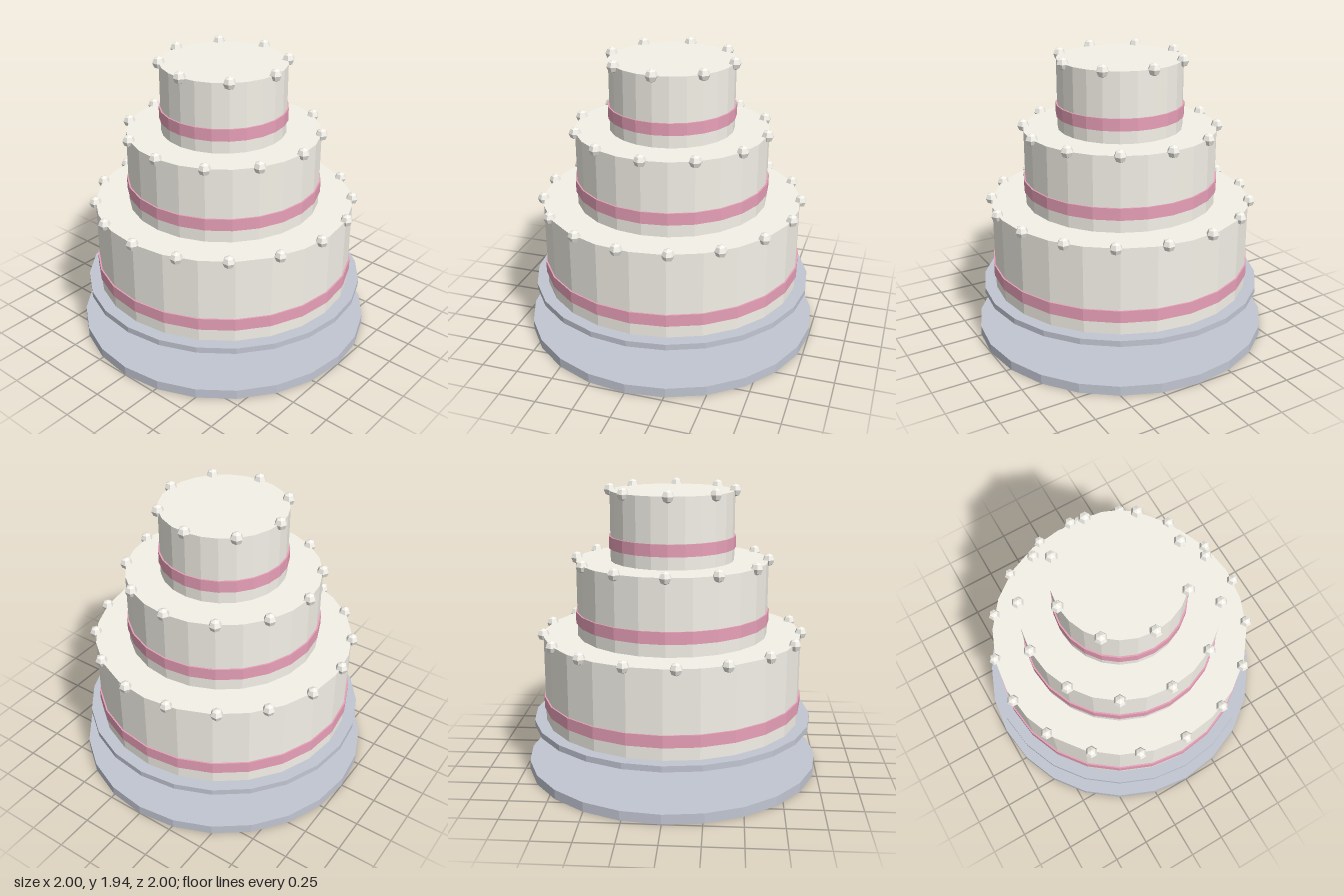
import * as THREE from 'three';

const material = (color) => new THREE.MeshStandardMaterial({ color, flatShading: true });

export function createModel() {
  const cake = new THREE.Group();
  cake.name = 'tieredCake';

  const standMat = material(0xc2c6d2);
  const icingMat = material(0xf4f1e8);
  const ribbonMat = material(0xe8a0b8);
  const pearlMat = material(0xf2f0e8);

  // Faceted disc between two heights
  const disc = (name, radius, bottom, top, mat, parent, sides = 24) => {
    const mesh = new THREE.Mesh(new THREE.CylinderGeometry(radius, radius, top - bottom, sides), mat);
    mesh.position.y = (bottom + top) / 2;
    mesh.name = name;
    parent.add(mesh);
  };

  // Pedestal stand
  const stand = new THREE.Group();
  stand.name = 'stand';
  disc('standBase', 1, 0, 0.065, standMat, stand);
  disc('standColumn', 0.165, 0.065, 0.32, standMat, stand, 12);
  disc('standPlate', 0.955, 0.32, 0.36, standMat, stand);
  cake.add(stand);

  // Tiers, each with a ribbon and a ring of pearls on its top edge
  const tiers = [
    { name: 'bottomTier', radius: 0.875, bottom: 0.36, top: 0.942, ribbon: 0.485, pearls: 17 },
    { name: 'middleTier', radius: 0.645, bottom: 0.942, top: 1.442, ribbon: 1.067, pearls: 12 },
    { name: 'topTier', radius: 0.415, bottom: 1.442, top: 1.902, ribbon: 1.567, pearls: 8 },
  ];
  const pearlGeometry = new THREE.SphereGeometry(0.042, 6, 4);

  for (const { name, radius, bottom, top, ribbon, pearls } of tiers) {
    const tier = new THREE.Group();
    tier.name = name;
    disc('icing', radius, bottom, top, icingMat, tier);
    disc('ribbon', radius + 0.01, ribbon - 0.04, ribbon + 0.04, ribbonMat, tier);
    for (let i = 0; i < pearls; i++) {
      const angle = (i / pearls) * Math.PI * 2;
      const pearl = new THREE.Mesh(pearlGeometry, pearlMat);
      pearl.position.set(Math.sin(angle) * radius, top, Math.cos(angle) * radius);
      pearl.name = 'pearl';
      tier.add(pearl);
    }
    cake.add(tier);
  }

  return cake;
}
